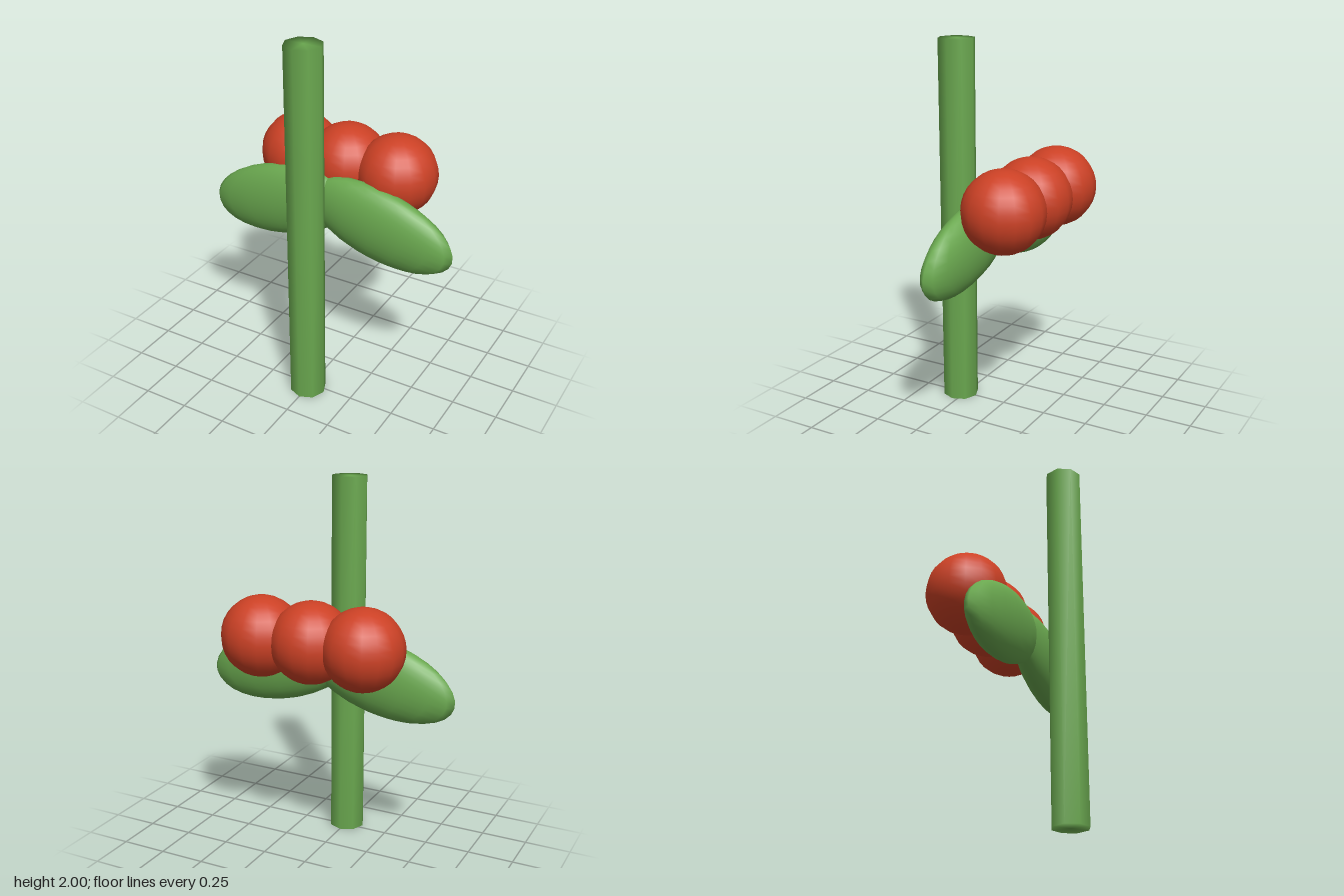
import * as THREE from 'three';
import { mergeVertices } from 'three/addons/utils/BufferGeometryUtils.js';

const green = new THREE.MeshStandardMaterial({ color: 0x6aa84f });
const red = new THREE.MeshStandardMaterial({ color: 0xcc4125 });

function addPart(group, name, geometry, material, x, y, z) {
  const mesh = new THREE.Mesh(geometry, material);
  mesh.name = name;
  mesh.position.set(x, y, z);
  group.add(mesh);
  return mesh;
}

// Shares normals across the rim so the shading runs softly over the caps
function softened(geometry) {
  geometry.deleteAttribute('uv');
  geometry.deleteAttribute('normal');
  const merged = mergeVertices(geometry);
  merged.computeVertexNormals();
  return merged;
}

export function createModel() {
  const model = new THREE.Group();
  model.name = 'berryPlant';

  // Upright eight-sided stem, standing in front
  const stem = softened(new THREE.CylinderGeometry(0.098, 0.098, 2, 8));
  addPart(model, 'stem', stem, green, 0, 1, 0.278);

  // Pair of flattened leaves drooping outwards
  const leaf = new THREE.SphereGeometry(1, 16, 16);
  for (const side of [-1, 1]) {
    const mesh = addPart(model, side > 0 ? 'leftLeaf' : 'rightLeaf', leaf, green, side * 0.29, 1.003, 0.042);
    mesh.scale.set(0.43, 0.203, 0.098);
    mesh.rotation.z = -side * 0.245;
  }

  // Row of three overlapping berries behind the leaves
  const berry = new THREE.SphereGeometry(0.215, 16, 16);
  ['rightBerry', 'middleBerry', 'leftBerry'].forEach((name, i) => {
    addPart(model, name, berry, red, (i - 1) * 0.29, 1.207, -0.162);
  });

  return model;
}
